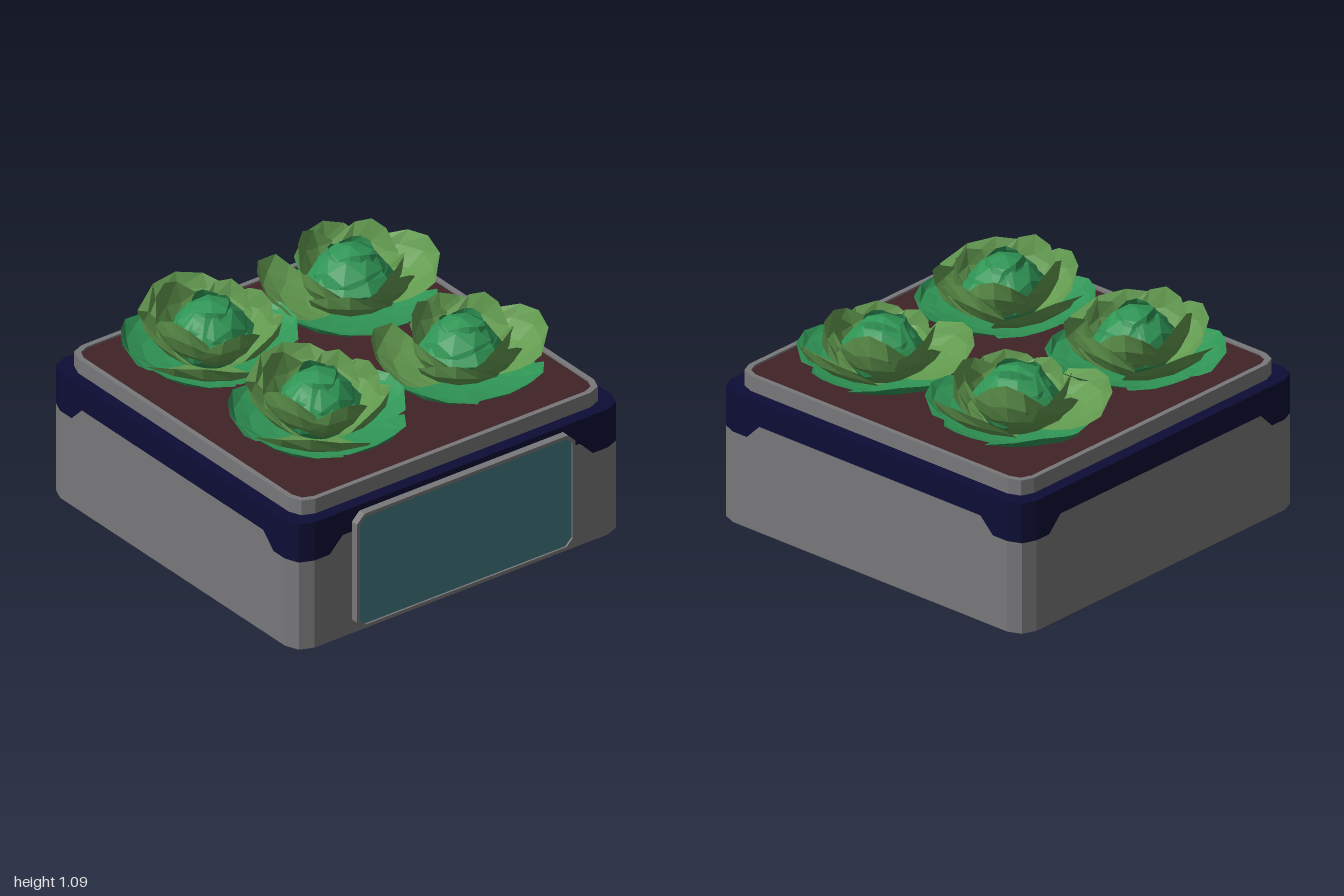
import * as THREE from 'three';

const mat = (name, color, side = THREE.FrontSide) => {
  const m = new THREE.MeshStandardMaterial({ color, side, flatShading: true });
  m.name = name;
  return m;
};

// Rectangle outline with faceted corners, centred on the origin
function outline(hx, hy, r, seg) {
  const pts = [];
  [[1, 1], [-1, 1], [-1, -1], [1, -1]].forEach(([sx, sy], i) => {
    for (let k = 0; k <= seg; k++) {
      const a = (i + k / seg) * Math.PI / 2;
      pts.push(new THREE.Vector2(sx * (hx - r) + r * Math.cos(a), sy * (hy - r) + r * Math.sin(a)));
    }
  });
  return pts;
}

function ring(outer, inner, depth) {
  const s = new THREE.Shape(outer);
  s.holes.push(new THREE.Path(inner));
  return new THREE.ExtrudeGeometry(s, { depth, bevelEnabled: false });
}

function fromTriangles(pos) {
  const g = new THREE.BufferGeometry();
  g.setAttribute('position', new THREE.Float32BufferAttribute(pos, 3));
  g.computeVertexNormals();
  return g;
}

// Wall strip around the tub; lo and hi give the heights from the skirt line h
function wall(lo, hi) {
  const side = [[-0.88, 0.48], [-0.79, 0.48], [-0.71, 0.56], [0.71, 0.56], [0.79, 0.48], [0.88, 0.48]]
    .map(([t, h]) => [t, 0.98, h]);
  side.push([0.951, 0.951, 0.48]);
  const pts = [];
  for (let k = 0; k < 4; k++) {
    const c = Math.round(Math.cos(k * Math.PI / 2)), s = Math.round(Math.sin(k * Math.PI / 2));
    side.forEach(([x, z, h]) => pts.push([x * c + z * s, z * c - x * s, h]));
  }
  const pos = [];
  pts.forEach((p, i) => {
    const q = pts[(i + 1) % pts.length];
    const a = [p[0], lo(p[2]), p[1]], b = [q[0], lo(q[2]), q[1]];
    const c = [q[0], hi(q[2]), q[1]], d = [p[0], hi(p[2]), p[1]];
    pos.push(...a, ...b, ...c, ...a, ...c, ...d);
  });
  return fromTriangles(pos);
}

// Cupped leaf swept around the plant's axis: angle, half width (degrees), radii, heights
function leaf({ a, w, r0, r1, y0 = 0, y1, curl = 1.5 }, seed) {
  const NU = 4, NV = 4, rad = Math.PI / 180;
  const jitter = (i, j) => Math.sin(i * 12.9 + j * 7.3 + seed * 4.1);
  const point = (i, j) => {
    const v = (j / NV) * 2 - 1;
    const u = (i / NU) * (1 - 0.26 * v * v);
    const r = r0 + (r1 - r0) * Math.sin(u * Math.PI / 2) + 0.012 * jitter(i, j);
    const y = y0 + (y1 - y0) * Math.pow(u, curl) + 0.012 * jitter(j + 3, i) * u;
    const th = (a + w * v * (1 - 0.3 * u * u)) * rad;
    return [r * Math.cos(th), Math.max(y, 0), r * Math.sin(th)];
  };
  const pos = [];
  for (let i = 0; i < NU; i++) {
    for (let j = 0; j < NV; j++) {
      const p = point(i, j), q = point(i + 1, j), s = point(i + 1, j + 1), t = point(i, j + 1);
      pos.push(...p, ...q, ...s, ...p, ...s, ...t);
    }
  }
  return fromTriangles(pos);
}

export function createModel() {
  const model = new THREE.Group();
  model.name = 'planter';
  const gray = mat('gray casing', 0x78787a);
  const navy = mat('navy trim', 0x0d0d36);
  const teal = mat('teal panel', 0x427a82);
  const brown = mat('brown soil', 0x412427);
  const light = mat('light leaf green', 0x639b50, THREE.DoubleSide);
  const deep = mat('deep leaf green', 0x309656, THREE.DoubleSide);

  const add = (parent, name, geo, m, x = 0, y = 0, z = 0) => {
    const mesh = new THREE.Mesh(geo, m);
    mesh.name = name;
    mesh.position.set(x, y, z);
    parent.add(mesh);
    return mesh;
  };

  // Tub walls, with the trim dropping lower at the corners
  const CZ = -0.02;
  add(model, 'tubWall', wall(() => 0, h => h), gray, 0, 0, CZ);
  add(model, 'tubTrim', wall(h => h, () => 0.69), navy, 0, 0, CZ);
  const tub = () => new THREE.ShapeGeometry(new THREE.Shape(outline(0.98, 0.98, 0.1, 2)));
  add(model, 'tubBase', tub().rotateX(Math.PI / 2), gray, 0, 0, CZ);
  add(model, 'trimTop', tub().rotateX(-Math.PI / 2), navy, 0, 0.69, CZ);

  // Raised rim and soil
  const rim = ring(outline(0.915, 0.915, 0.09, 2), outline(0.888, 0.888, 0.075, 2), 0.08);
  add(model, 'rim', rim.rotateX(-Math.PI / 2), gray, 0, 0.69, CZ);
  const soil = new THREE.ShapeGeometry(new THREE.Shape(outline(0.89, 0.89, 0.075, 2)));
  add(model, 'soil', soil.rotateX(-Math.PI / 2), brown, 0, 0.76, CZ);

  // Front panel with a raised frame
  const frame = ring(outline(0.655, 0.315, 0.045, 1), outline(0.637, 0.297, 0.035, 1), 0.04);
  add(model, 'panelFrame', frame, gray, 0, 0.345, 0.96);
  const panel = new THREE.ShapeGeometry(new THREE.Shape(outline(0.638, 0.298, 0.035, 1)));
  add(model, 'panel', panel, teal, 0, 0.345, 0.99);

  // Leaves of one plant, from the ground up
  const spreading = [
    { a: 69, w: 44, r0: 0.1, r1: 0.43, y1: 0.09 },
    { a: -5, w: 44, r0: 0.1, r1: 0.45, y1: 0.12 },
    { a: 223, w: 44, r0: 0.1, r1: 0.44, y1: 0.11 },
    { a: 145, w: 44, r0: 0.1, r1: 0.38, y1: 0.07 },
    { a: 290, w: 40, r0: 0.1, r1: 0.37, y1: 0.07 },
  ];
  const cupped = [
    { a: -75, w: 48, r0: 0.08, r1: 0.43, y1: 0.23 },
    { a: 132, w: 48, r0: 0.08, r1: 0.46, y1: 0.18 },
    { a: 48, w: 48, r0: 0.08, r1: 0.34, y1: 0.24 },
    { a: 205, w: 46, r0: 0.08, r1: 0.34, y1: 0.26 },
    { a: 0, w: 46, r0: 0.08, r1: 0.32, y1: 0.25 },
    { a: 95, w: 48, r0: 0.08, r1: 0.26, y1: 0.26 },
    { a: 170, w: 48, r0: 0.08, r1: 0.27, y1: 0.3 },
    { a: 250, w: 50, r0: 0.08, r1: 0.27, y1: 0.32 },
    { a: -30, w: 48, r0: 0.08, r1: 0.25, y1: 0.3 },
  ];
  // Heart leaves lean inward and close over the top
  const heart = [20, 140, 260].map(a => ({ a, w: 75, r0: 0.21, r1: 0.1, y0: 0.14, y1: 0.31, curl: 0.8 }));

  const plants = [[-0.4, -0.48, 0, 1], [0.44, -0.48, 80, 1], [-0.4, 0.36, 0, 1], [0.46, 0.36, 84, 0.96]];
  plants.forEach(([x, z, turn, scale], n) => {
    const plant = new THREE.Group();
    plant.name = 'plant' + (n + 1);
    plant.position.set(x, 0.768, z);
    plant.rotation.y = -turn * Math.PI / 180;
    plant.scale.setScalar(scale);
    spreading.forEach((l, i) => add(plant, 'spreadingLeaf', leaf(l, i), deep));
    cupped.forEach((l, i) => add(plant, 'cuppedLeaf', leaf(l, i + 7), light));
    heart.forEach((l, i) => add(plant, 'heartLeaf', leaf(l, i + 20), deep));
    const core = new THREE.IcosahedronGeometry(0.19, 1).scale(1, 0.95, 1);
    add(plant, 'heartCore', core, deep, 0, 0.13, 0);
    model.add(plant);
  });
  return model;
}
